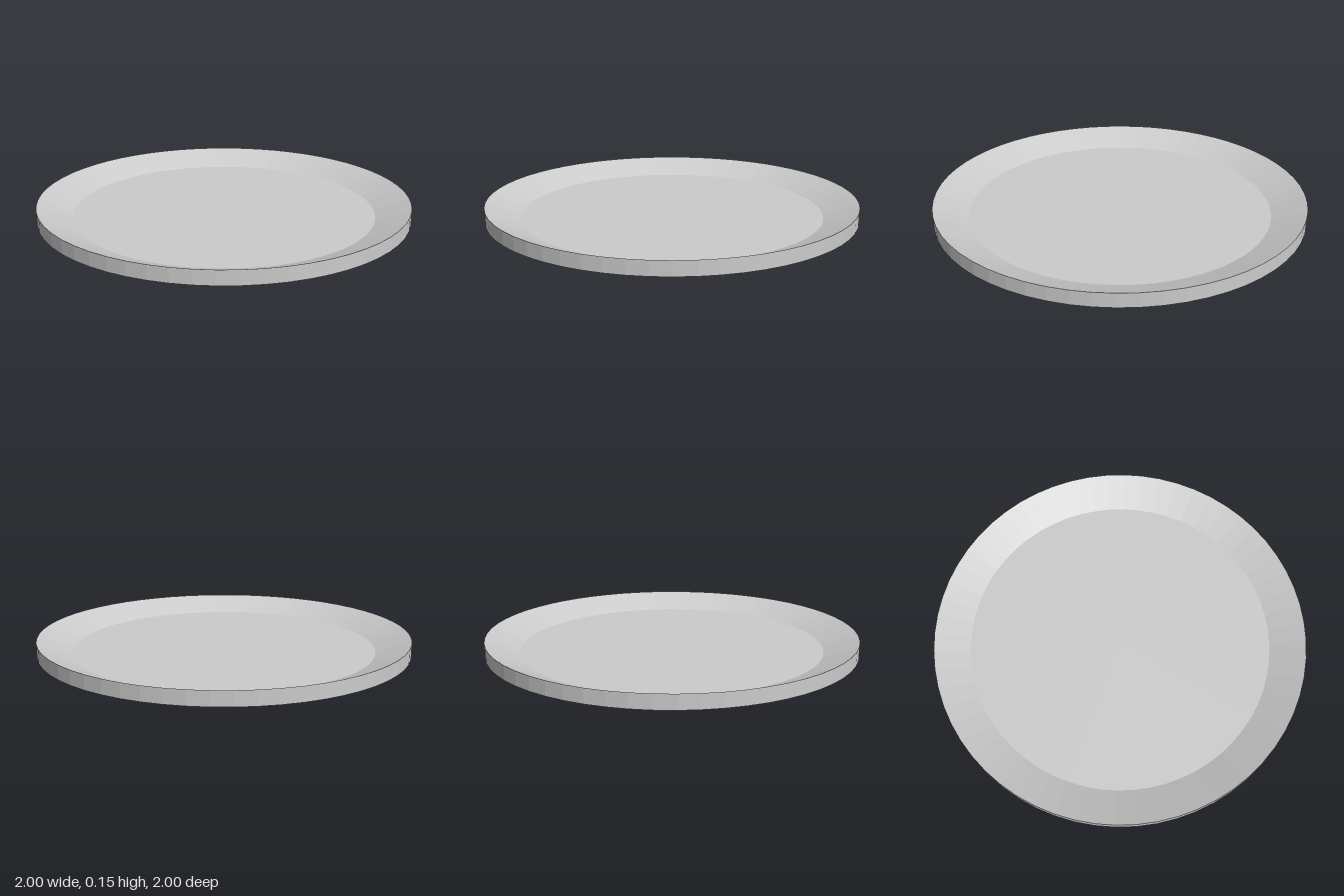
import * as THREE from 'three';

const SIDES = 60;

// Faceted surface of revolution from [radius, height] pairs, with hard edges
function turned(name, profile) {
  const points = profile.map(([r, y]) => new THREE.Vector2(r, y));
  const mesh = new THREE.Mesh(
    new THREE.LatheGeometry(points, SIDES),
    new THREE.MeshStandardMaterial({ color: 0xcccccc, flatShading: true, side: THREE.DoubleSide })
  );
  mesh.name = name;
  return mesh;
}

export function createModel() {
  const plate = new THREE.Group();
  plate.name = 'plate';

  // Tapered foot with a flat underside
  plate.add(turned('foot', [[0, 0], [0.665, 0], [0.815, 0.075]]));

  // Rim: flat underside, upright outer wall and slope down to the floor
  plate.add(turned('rim', [[0.815, 0.075], [1, 0.075], [1, 0.151], [0.815, 0.076]]));

  // Flat floor of the dish
  plate.add(turned('floor', [[0.815, 0.076], [0, 0.076]]));

  return plate;
}
